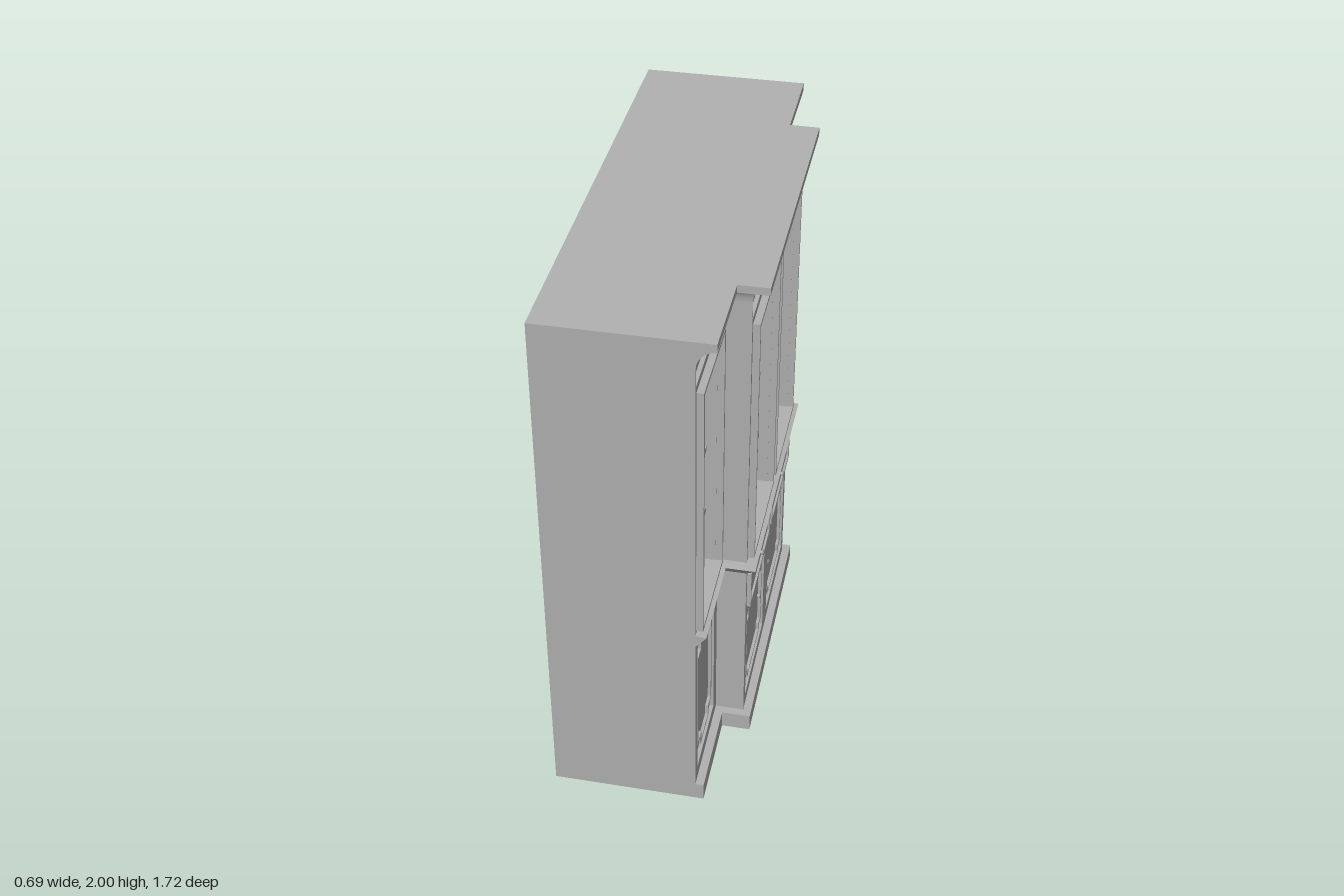
import * as THREE from 'three';
import { toCreasedNormals } from 'three/addons/utils/BufferGeometryUtils.js';

const BACK = -0.345, SIDE_FRONT = 0.175, MID_FRONT = 0.28, MID = 0.465, END = 0.86;
const SKIN = 0.015; // thickness of the face boards, depth of their recesses

const paint = new THREE.MeshStandardMaterial({ color: 0xb2b2b2 });
paint.name = 'grey paint';

function add(parent, name, geometry) {
  const mesh = new THREE.Mesh(geometry, paint);
  mesh.name = name;
  parent.add(mesh);
  return mesh;
}

const rect = (x0, x1, y0, y1) => [[x0, y0], [x1, y0], [x1, y1], [x0, y1]];
const vectors = (pts) => pts.map(([x, y]) => new THREE.Vector2(x, y));

// Flat board with cut-outs, filling z0..z1
function board(outline, holes, z0, z1) {
  const shape = new THREE.Shape(vectors(outline));
  for (const h of holes) shape.holes.push(new THREE.Path(vectors(h)));
  return new THREE.ExtrudeGeometry(shape, { depth: z1 - z0, bevelEnabled: false }).translate(0, 0, z0);
}

// Rectangular rim of width t
function rim([x0, x1, y0, y1], t, z0, z1) {
  return board(rect(x0, x1, y0, y1), [rect(x0 + t, x1 - t, y0 + t, y1 - t)], z0, z1);
}

// Rectangle with square notches in its corners
function notched(cx, cy, w, h, nx, ny) {
  const p = [];
  const corner = (sx, sy, flip) => {
    const c = [[w, h - ny], [w - nx, h - ny], [w - nx, h]];
    if (flip) c.reverse();
    for (const [x, y] of c) p.push([cx + sx * x, cy + sy * y]);
  };
  corner(1, 1, false);
  corner(-1, 1, true);
  corner(-1, -1, false);
  corner(1, -1, true);
  return p;
}

// Break-front footprint, pushed outward by d; the ends stay flush
function footprint(d) {
  const s = SIDE_FRONT + d, f = MID_FRONT + d, m = MID + d;
  return [[-END, BACK], [-END, s], [-m, s], [-m, f], [m, f], [m, s], [END, s], [END, BACK]];
}

// Moulding stacked from footprints, profile = [offset, height] from the bottom up
function moulding(profile) {
  const pos = [];
  const rings = profile.map(([d, y]) => footprint(d).map(([x, z]) => [x, y, z]));
  const tri = (a, b, c) => pos.push(...a, ...b, ...c);
  for (let i = 0; i < rings.length - 1; i++) {
    for (let j = 0; j < 8; j++) {
      const k = (j + 1) % 8;
      const a = rings[i][j], b = rings[i][k], c = rings[i + 1][k], e = rings[i + 1][j];
      tri(a, b, c);
      tri(a, c, e);
    }
  }
  const cap = (ring, up) => {
    const faces = THREE.ShapeUtils.triangulateShape(ring.map(([x, , z]) => new THREE.Vector2(x, z)), []);
    for (const [a, b, c] of faces) {
      const [p, q, r] = [ring[a], ring[b], ring[c]];
      const ny = (q[2] - p[2]) * (r[0] - p[0]) - (q[0] - p[0]) * (r[2] - p[2]);
      if ((ny > 0) === up) tri(p, q, r); else tri(p, r, q);
    }
  };
  cap(rings[0], false);
  cap(rings[rings.length - 1], true);
  const g = new THREE.BufferGeometry();
  g.setAttribute('position', new THREE.Float32BufferAttribute(pos, 3));
  return toCreasedNormals(g, 0.5);
}

// Small turned knob pointing forward
function knob(parent, name, x, y, z, length) {
  const pts = vectors([[0.005, 0], [0.005, length * 0.4], [0.01, length * 0.6], [0.008, length * 0.9], [0, length]]);
  add(parent, name, new THREE.LatheGeometry(pts, 16).rotateX(Math.PI / 2).translate(x, y, z));
}

// One section of the case: carcass with open bays, recessed face, shelves and door frames
function section(parent, name, x0, x1, front, bays, recesses, shelfHeights) {
  const g = new THREE.Group();
  g.name = name;
  parent.add(g);
  const outline = rect(x0, x1, 0.06, 1.91);
  const openings = bays.map((b) => rect(...b));
  add(g, 'carcass', board(outline, openings, BACK + SKIN, front - SKIN));
  add(g, 'faceBoard', board(outline, [...openings, ...recesses], front - SKIN, front));
  add(g, 'backPanel', board(outline, [], BACK, BACK + SKIN));
  for (const [a, b, y0, y1] of bays) {
    add(g, 'glazedDoorFrame', rim([a - 0.014, b + 0.014, y0 - 0.012, y1 + 0.012], 0.013, front, front + 0.024));
    for (const y of shelfHeights) {
      add(g, 'shelf', board(rect(a, b, y - 0.01, y + 0.01), [], BACK + SKIN, front - 0.035));
    }
  }
  return g;
}

// Raised notched moulding on a lower door
function doorMoulding(parent, cx, cy, w, h, nx, ny, front) {
  const t = 0.011;
  add(parent, 'doorMoulding', board(notched(cx, cy, w, h, nx, ny),
    [notched(cx, cy, w - t, h - t, nx, ny)], front - SKIN, front - 0.004));
}

export function createModel() {
  const model = new THREE.Group();
  model.name = 'breakfrontBookcase';
  const cabinet = new THREE.Group();
  cabinet.name = 'cabinet';
  cabinet.rotation.y = Math.PI / 2; // the cabinet front looks along +x
  model.add(cabinet);

  // Plinth, waist moulding and coved cornice
  add(cabinet, 'plinth', moulding([[0.03, 0], [0.03, 0.07]]));
  add(cabinet, 'waistMoulding', moulding([[0, 0.757], [0.037, 0.803], [0, 0.808]]));
  const cove = [];
  for (let i = 0; i <= 8; i++) {
    const a = (i / 8) * Math.PI / 2;
    cove.push([0.058 * (1 - Math.cos(a)), 1.9 + 0.068 * Math.sin(a)]);
  }
  add(cabinet, 'cornice', moulding([...cove, [0.065, 1.972], [0.065, 2]]));

  // Side sections
  for (const s of [-1, 1]) {
    const span = (a, b) => (s > 0 ? [a, b] : [-b, -a]);
    const g = section(cabinet, s > 0 ? 'rightSection' : 'leftSection', ...span(MID, END), SIDE_FRONT,
      [[...span(0.499, 0.833), 0.832, 1.795]],
      [rect(...span(0.472, 0.855), 1.833, 1.9), rect(...span(0.515, 0.823), 0.122, 0.715)],
      [1.06, 1.322, 1.571]);
    doorMoulding(g, s * 0.665, 0.415, 0.125, 0.26, 0.05, 0.042, SIDE_FRONT);
  }

  // Centre section with two bays, two doors and two drawers
  const bays = [], recesses = [];
  for (const s of [-1, 1]) {
    const span = (a, b) => (s > 0 ? [a, b] : [-b, -a]);
    bays.push([...span(0.034, 0.436), 0.832, 1.795]);
    recesses.push(rect(...span(0.01, 0.462), 1.833, 1.9), rect(...span(0.042, 0.43), 0.117, 0.525));
  }
  const centre = section(cabinet, 'centreSection', -MID, MID, MID_FRONT, bays, recesses, [1.044, 1.322, 1.589]);
  for (const s of [-1, 1]) {
    doorMoulding(centre, s * 0.234, 0.318, 0.165, 0.176, 0.032, 0.032, MID_FRONT);
    knob(centre, 'doorKnob', s * 0.1, 0.318, MID_FRONT - SKIN, 0.015);
    const x0 = s * 0.233 - 0.213, x1 = s * 0.233 + 0.213;
    add(centre, 'drawerRim', rim([x0, x1, 0.583, 0.737], 0.014, MID_FRONT, MID_FRONT + 0.015));
    add(centre, 'drawerPanel', board(rect(x0 + 0.01, x1 - 0.01, 0.593, 0.727), [], MID_FRONT, MID_FRONT + 0.007));
    knob(centre, 'drawerKnob', s * 0.234, 0.66, MID_FRONT + 0.007, 0.02);
  }
  return model;
}
